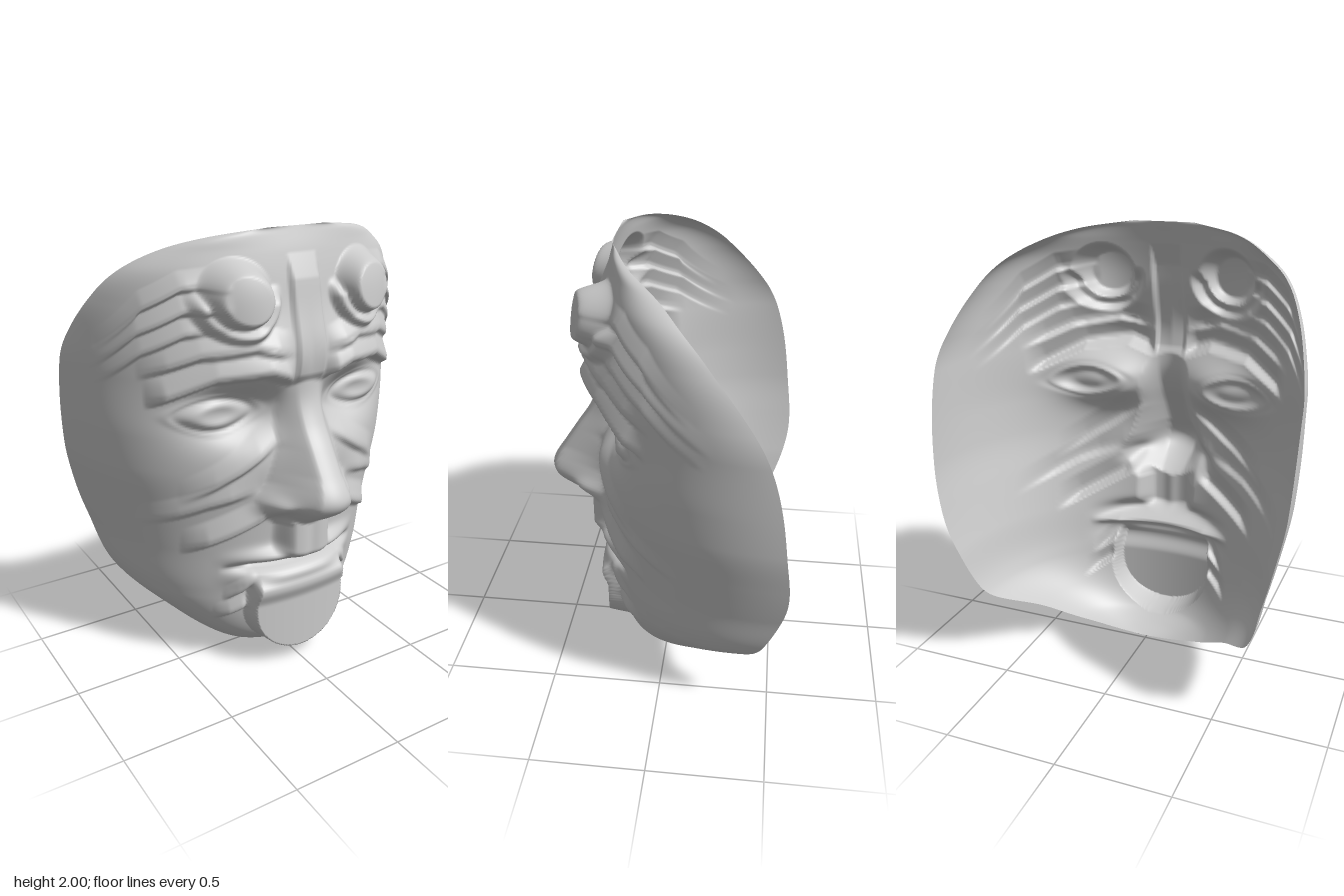
import * as THREE from 'three';

const clamp = (v) => Math.min(1, Math.max(0, v));
const ease = (v) => { const t = clamp(v); return t * t * (3 - 2 * t); };
const gauss = (dx, dy) => Math.exp(-(dx * dx + dy * dy));

// Piecewise-linear lookup in a list of [key, value] pairs
function lerpTable(pts, k) {
  if (k <= pts[0][0]) return pts[0][1];
  for (let i = 1; i < pts.length; i++) {
    const [a, va] = pts[i - 1], [b, vb] = pts[i];
    if (k <= b) return va + ((vb - va) * (k - a)) / (b - a);
  }
  return pts[pts.length - 1][1];
}

// Catmull-Rom version for the large smooth contours
function smoothTable(pts, k) {
  let i = 0;
  while (i < pts.length - 2 && k > pts[i + 1][0]) i++;
  const p1 = pts[i], p2 = pts[i + 1], p0 = pts[i - 1] || p1, p3 = pts[i + 2] || p2;
  const d = p2[0] - p1[0], t = clamp((k - p1[0]) / d);
  const m1 = ((p2[1] - p0[1]) / (p2[0] - p0[0])) * d;
  const m2 = ((p3[1] - p1[1]) / (p3[0] - p1[0])) * d;
  const t2 = t * t, t3 = t2 * t;
  return (2 * t3 - 3 * t2 + 1) * p1[1] + (t3 - 2 * t2 + t) * m1 + (3 * t2 - 2 * t3) * p2[1] + (t3 - t2) * m2;
}

// Rim half width, rim depth and centre depth, all by height
const rimWidth = [[0, 0.03], [0.015, 0.12], [0.05, 0.23], [0.1, 0.33], [0.2, 0.46], [0.35, 0.62], [0.6, 0.7],
  [0.8, 0.75], [1, 0.785], [1.4, 0.8], [1.52, 0.785], [1.7, 0.725], [1.83, 0.64], [1.92, 0.5], [1.97, 0.35], [2, 0.14]];
const rimDepth = [[0, 0.02], [0.05, -0.03], [0.1, -0.09], [0.2, -0.21], [0.32, -0.4], [0.4, -0.46], [0.7, -0.55],
  [1, -0.53], [1.3, -0.48], [1.5, -0.4], [1.75, -0.2], [1.86, -0.08], [1.92, 0.01], [1.97, 0.13], [2, 0.22]];
const centreDepth = [[0, 0.02], [0.03, 0.1], [0.08, 0.18], [0.2, 0.23], [0.4, 0.25], [0.6, 0.27], [0.8, 0.29],
  [1, 0.31], [1.25, 0.31], [1.5, 0.31], [1.75, 0.28], [1.9, 0.25], [2, 0.22]];

// Nose: ridge line, then flat width and foot width
const noseLine = [[0.74, 0.36], [0.77, 0.41], [0.81, 0.48], [0.85, 0.535], [0.89, 0.555], [0.93, 0.545], [1, 0.5],
  [1.1, 0.435], [1.2, 0.37], [1.3, 0.33], [1.42, 0.32]];
const noseFlat = [[0.74, 0.05], [0.88, 0.08], [1, 0.055], [1.4, 0.05]];
const noseFoot = [[0.74, 0.16], [0.8, 0.21], [0.87, 0.24], [0.95, 0.19], [1.1, 0.14], [1.25, 0.12], [1.42, 0.09]];

// Overlapping carved bands: lower edge by |x|, thickness, height, end taper
const bands = [
  { edge: [[0.07, 1.36], [0.2, 1.41], [0.4, 1.39], [0.62, 1.28]], thick: 0.13, h: 0.05, taper: 0.05 }, // brow
  { edge: [[0.08, 1.48], [0.25, 1.52], [0.45, 1.49], [0.64, 1.4]], thick: 0.12, h: 0.03, taper: 0.08 }, // upper brow
  { edge: [[0.36, 1.61], [0.5, 1.58], [0.63, 1.5], [0.76, 1.34]], thick: 0.09, h: 0.025, taper: 0.12 }, // forehead folds
  { edge: [[0.36, 1.69], [0.5, 1.67], [0.64, 1.58], [0.77, 1.4]], thick: 0.09, h: 0.03, taper: 0.12 },
  { edge: [[0.36, 1.78], [0.5, 1.76], [0.62, 1.68], [0.74, 1.5]], thick: 0.09, h: 0.025, taper: 0.12 },
  { edge: [[0.1, 1.12], [0.3, 0.98], [0.52, 0.84]], thick: 0.13, h: 0.022, taper: 0.12 }, // cheek folds
  { edge: [[0.22, 0.89], [0.42, 0.82], [0.64, 0.7]], thick: 0.12, h: 0.02, taper: 0.12 },
  { edge: [[0.14, 0.78], [0.3, 0.69], [0.5, 0.58]], thick: 0.14, h: 0.04, taper: 0.08 },
  { edge: [[0.22, 0.32], [0.37, 0.22]], thick: 0.1, h: 0.03, taper: 0.05 }, // chin tufts
  { edge: [[0.22, 0.43], [0.34, 0.33]], thick: 0.09, h: 0.03, taper: 0.05 },
];

function bandHeight({ edge, thick, h, taper }, x, y) {
  const x0 = edge[0][0], x1 = edge[edge.length - 1][0];
  if (x < x0 || x > x1) return 0;
  const v = (y - lerpTable(edge, x)) / thick;
  if (v < 0 || v > 1) return 0;
  return h * clamp((x - x0) / taper) * clamp((x1 - x) / taper) * Math.min(clamp(v / 0.2), clamp((1 - v) / 0.6));
}

// Depth of the mask at a point, mirrored through |x|
function depth(px, y, width) {
  const x = Math.abs(px), back = smoothTable(rimDepth, y), mid = smoothTable(centreDepth, y);
  const c = Math.sqrt(Math.max(0, 1 - (x / width) ** 2));
  let z = back + (mid - back) * Math.pow(c, 0.88 + 0.14 * ease((y - 1.15) / 0.35));
  const inner = clamp((1 - x / width) / 0.05); // keeps the rim clean

  // Brow shelf
  z += 0.035 * gauss((x - 0.2) / 0.22, (y - 1.51) / 0.13);

  // Eye sockets, deepest at the inner corner, with eyeballs and lids
  z -= 0.12 * gauss((x - 0.27) / 0.19, (y - 1.25) / 0.115);
  const ex = (x - 0.365) / 0.165, ey = (y - 1.25) / (0.07 - 0.015 * ex * ex);
  const e = ex * ex + ey * ey;
  z += 0.045 * ease(1.15 - e) + 0.006 * Math.exp(-(((Math.sqrt(e) - 1.15) / 0.15) ** 2));

  // Brow, forehead, cheek and chin bands
  for (const b of bands) z += inner * bandHeight(b, x, y);

  // Forehead knobs, each resting in a crescent
  const dx = x - 0.3, dy = y - 1.75, r = Math.hypot(dx, dy);
  const knob = 0.125 * ease((0.15 - r) / 0.06) * (1 - 8 * r * r);
  const crescent = 0.055 * ease((0.19 - r) / 0.04) * ease((0.04 - dy) / 0.08);
  z += Math.max(knob, crescent);

  // Central forehead strip
  z += 0.02 * clamp((0.075 - x) / 0.012) * clamp((1.9 - y) / 0.1) * clamp((y - 1.36) / 0.05);

  // Nose
  if (y > 0.74 && y < 1.42) {
    const a = lerpTable(noseFlat, y), b = lerpTable(noseFoot, y);
    const k = clamp((b - x) / (b - a));
    z += Math.max(0, smoothTable(noseLine, y) - 4 * x * x - z) * Math.pow(k, 0.8);
  }
  // Nostril wings
  z += 0.05 * gauss((x - 0.18) / 0.05, (y - 0.85) / 0.045);

  // Lips and mouth line
  const lip = ease((0.4 - x) / 0.3);
  z += lip * (0.06 * gauss(0, (y - 0.58 + 0.15 * x * x) / 0.035) + 0.06 * gauss(0, (y - 0.465) / 0.045));
  z -= 0.045 * clamp((0.36 - x) / 0.14) * gauss(0, (y - 0.525 + 0.1 * x * x) / 0.018);

  // Rounded upper lip block with a shallow groove
  const k = ease((0.15 - x) / 0.07) * ease((y - 0.545 - 1.5 * x * x) / 0.05) * clamp((0.82 - y) / 0.04);
  z += Math.max(0, 0.372 - 1.5 * x * x - 0.01 * gauss(x / 0.03, 0) - z) * k;

  // Chin plate with a gently curved face and sharp rim
  const cy = y < 0.3 ? (y - 0.3) / 0.24 : (y - 0.3) / 0.42;
  const plate = 1 - Math.hypot(x / 0.25, cy);
  if (y < 0.48 && plate > 0) {
    const face = 0.3 + 0.025 * ease((y - 0.33) / 0.08) - 0.4 * x * x;
    z += Math.max(0, face - z) * clamp(plate / 0.06) * ease((0.48 - y) / 0.06);
  }
  return z;
}

// Open shell: rows by height, columns crowded toward the rim
function maskGeometry(rows, cols) {
  const pos = [], index = [];
  for (let j = 0; j <= rows; j++) {
    const t = j / rows;
    const y = 0.6 * 2 * t + 0.4 * (1 - Math.cos(Math.PI * t));
    const width = smoothTable(rimWidth, y);
    for (let i = 0; i <= cols; i++) {
      const s = (2 * i) / cols - 1;
      const x = width * Math.sin((s * Math.PI) / 2);
      pos.push(x, y, depth(x, y, width));
      if (i < cols && j < rows) {
        const a = j * (cols + 1) + i, b = a + cols + 1;
        index.push(a, a + 1, b + 1, a, b + 1, b);
      }
    }
  }
  const g = new THREE.BufferGeometry();
  g.setAttribute('position', new THREE.Float32BufferAttribute(pos, 3));
  g.setIndex(index);
  g.computeVertexNormals();
  return g;
}

export function createModel() {
  const group = new THREE.Group();
  group.name = 'mask';
  const material = new THREE.MeshStandardMaterial({ color: 0xcccccc, side: THREE.DoubleSide });
  const face = new THREE.Mesh(maskGeometry(240, 240), material);
  face.name = 'faceShell';
  group.add(face);
  return group;
}
